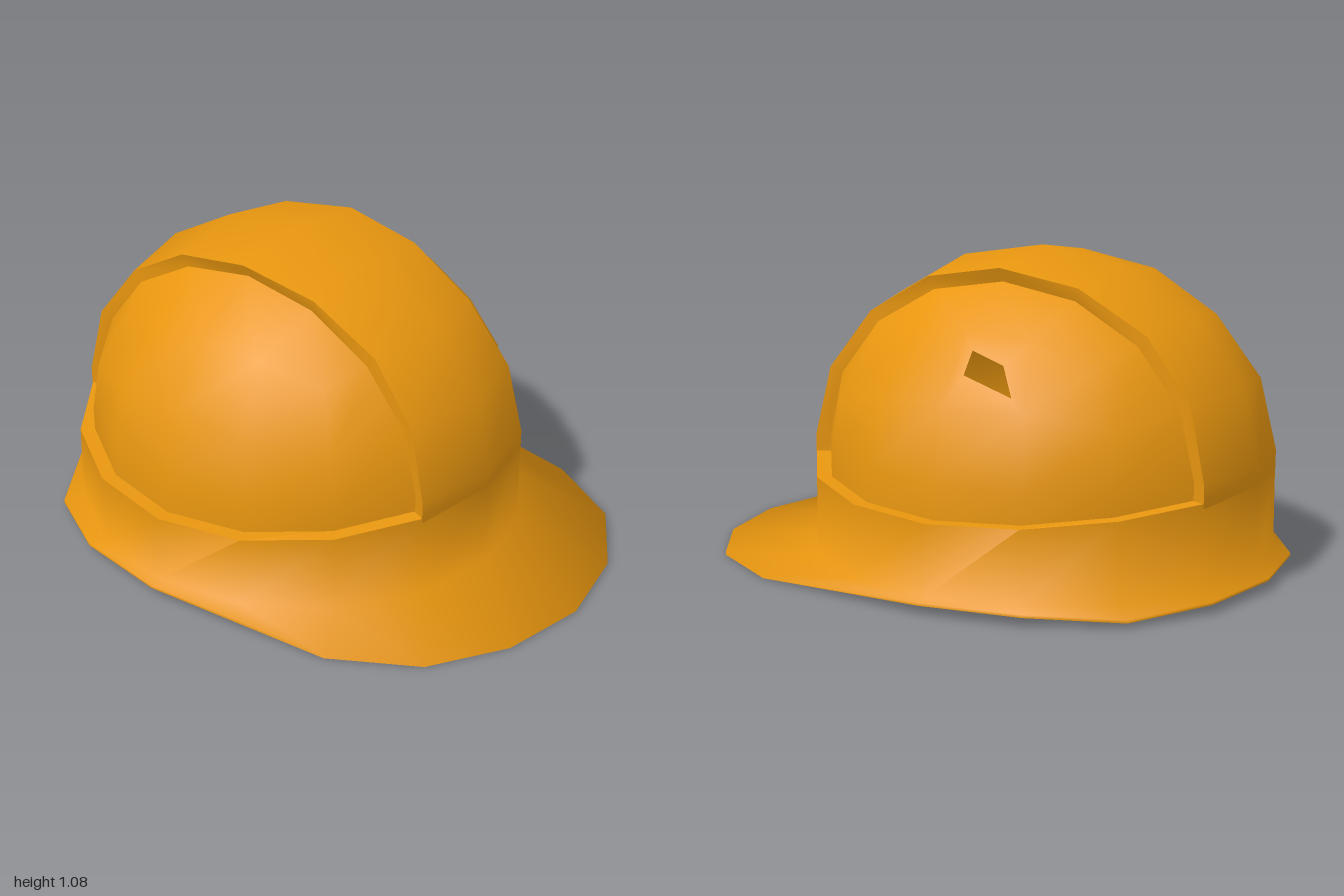
import * as THREE from 'three';
import { toCreasedNormals } from 'three/addons/utils/BufferGeometryUtils.js';

const CZ = -0.16, BASE = 0.4;              // dome centre and springing height
const RX = 0.7, RY = 0.63, RZ = 0.745;     // dome radii
const RIDGE_X = 0.265;                     // where the ridge meets the dome
const STEP = Math.PI / 8;                  // sixteen-sided throughout

const material = new THREE.MeshStandardMaterial({ color: 0xe8960f, side: THREE.DoubleSide });

function makeMesh(name, triangles, crease) {
  const geometry = new THREE.BufferGeometry();
  geometry.setAttribute('position', new THREE.Float32BufferAttribute(triangles.flat(), 3));
  const mesh = new THREE.Mesh(toCreasedNormals(geometry, crease), material);
  mesh.name = name;
  return mesh;
}

const quad = (a, b, c, d) => [a, b, c, a, c, d];

// Joins rows of points into a skin; skip(row, column) leaves a gap
function loft(rows, closed, skip = () => false) {
  const out = [], n = rows[0].length;
  for (let r = 0; r < rows.length - 1; r++) {
    for (let k = 0; k < (closed ? n : n - 1); k++) {
      if (skip(r, k)) continue;
      const m = (k + 1) % n;
      out.push(...quad(rows[r][k], rows[r][m], rows[r + 1][m], rows[r + 1][k]));
    }
  }
  return out;
}

// Maps a point of a cube grid onto the dome
function domePoint(x, y, z) {
  const below = y < 0;
  const v = new THREE.Vector3(x, Math.max(y, 0), z);
  v.set(...v.toArray().map((c) => Math.tan(c * Math.PI / 4))).normalize();
  if (Math.abs(Math.abs(x) - 0.5) < 0.01) {
    // straighten the columns that border the ridge
    const u = RIDGE_X / RX, s = Math.sqrt(1 - u * u) / Math.hypot(v.y, v.z);
    v.set(Math.sign(x) * u, v.y * s, v.z * s);
  }
  return [v.x * RX, below ? 0.28 : BASE + v.y * RY, CZ + v.z * RZ];
}

// Dome sides: a rounded cube, open under the ridge, with one vent on the left
function dome() {
  const box = new THREE.BoxGeometry(2, 2, 2, 4, 4, 4).toNonIndexed();
  const p = box.attributes.position, out = [];
  for (let i = 0; i < p.count; i += 3) {
    const tri = [0, 1, 2].map((j) => [p.getX(i + j), p.getY(i + j), p.getZ(i + j)]);
    const [x, y, z] = [0, 1, 2].map((a) => (tri[0][a] + tri[1][a] + tri[2][a]) / 3);
    const vent = x > 0.99 && y > 0.5 && z < 0 && z > -0.5;
    if (Math.abs(x) < 0.5 || y < -0.5 || vent) continue;
    out.push(...tri.map((v) => domePoint(...v)));
  }
  // Panel around the vent
  const outer = [[1, 1, 0], [1, 0.5, 0], [1, 0.5, -0.5], [1, 1, -0.5]].map((v) => domePoint(...v));
  const hole = [[0.525, 0.8, -0.2], [0.58, 0.73, -0.2], [0.585, 0.675, -0.375], [0.54, 0.765, -0.32]];
  out.push(...loft([outer, hole], true));
  return makeMesh('domeSides', out, 0.95);
}

// Raised ridge running from front to back over the crown
function ridge() {
  const row = (t, y, inset) => {
    const c = Math.cos(t), s = Math.sin(t);
    const w = 0.276 + 0.013 * Math.cos(4 * t);
    const k = Math.sqrt(1 - (RIDGE_X / RX) ** 2);
    const at = (x, ry, rz) => [x, y ?? BASE + ry * s, CZ + (rz - inset) * c];
    return [
      at(-RIDGE_X, RY * k, RZ * k), at(-w, RY, 0.735), at(0, 0.675, 0.795),
      at(w, RY, 0.735), at(RIDGE_X, RY * k, RZ * k),
    ];
  };
  const rows = [row(0, 0.05, 0.012), row(0, 0.345, 0)];
  for (let j = 0; j <= 8; j++) rows.push(row(j * STEP, undefined, 0));
  rows.push(row(Math.PI, 0.345, 0), row(Math.PI, 0.05, 0.012));
  return makeMesh('ridge', loft(rows, false), 0.85);
}

// Band around the head, flowing into the brim and its peak
function bandAndBrim() {
  // half outline of the brim from front to back: x, underside y, z
  const half = [
    [0, 0, 1], [0.3, 0, 0.94], [0.55, 0, 0.78], [0.71, 0, 0.5], [0.795, 0.033, -0.16],
    [0.74, 0.033, -0.5], [0.58, 0.016, -0.78], [0.32, 0.03, -0.945], [0, 0.033, -1],
  ];
  const edge = [...half, ...half.slice(1, 8).reverse().map(([x, y, z]) => [-x, y, z])];
  const ring = (rx, rz, height) => edge.map((_, k) => {
    const a = k * STEP;
    return [Math.sin(a) * rx, height(a), CZ + Math.cos(a) * rz];
  });
  const top = (a) => 0.285 + 0.065 * Math.cos(a) ** 2;
  const innerTop = ring(RX, RZ, top);
  const rows = [
    innerTop,
    ring(RX, RZ, () => 0.038),
    edge,
    edge.map(([x, y, z]) => [x, y + 0.01, z]),
    ring(0.757, 0.795, () => 0.05),
    ring(0.75, 0.795, top),
    innerTop,
  ];
  // the inner wall and top ledge stay open where the ridge passes
  const skip = (r, k) => (r === 0 || r === 5) && [15, 0, 7, 8].includes(k);
  return makeMesh('bandAndBrim', loft(rows, true, skip), 1.5);
}

export function createModel() {
  const group = new THREE.Group();
  group.name = 'hardHat';
  group.add(dome(), ridge(), bandAndBrim());
  return group;
}
